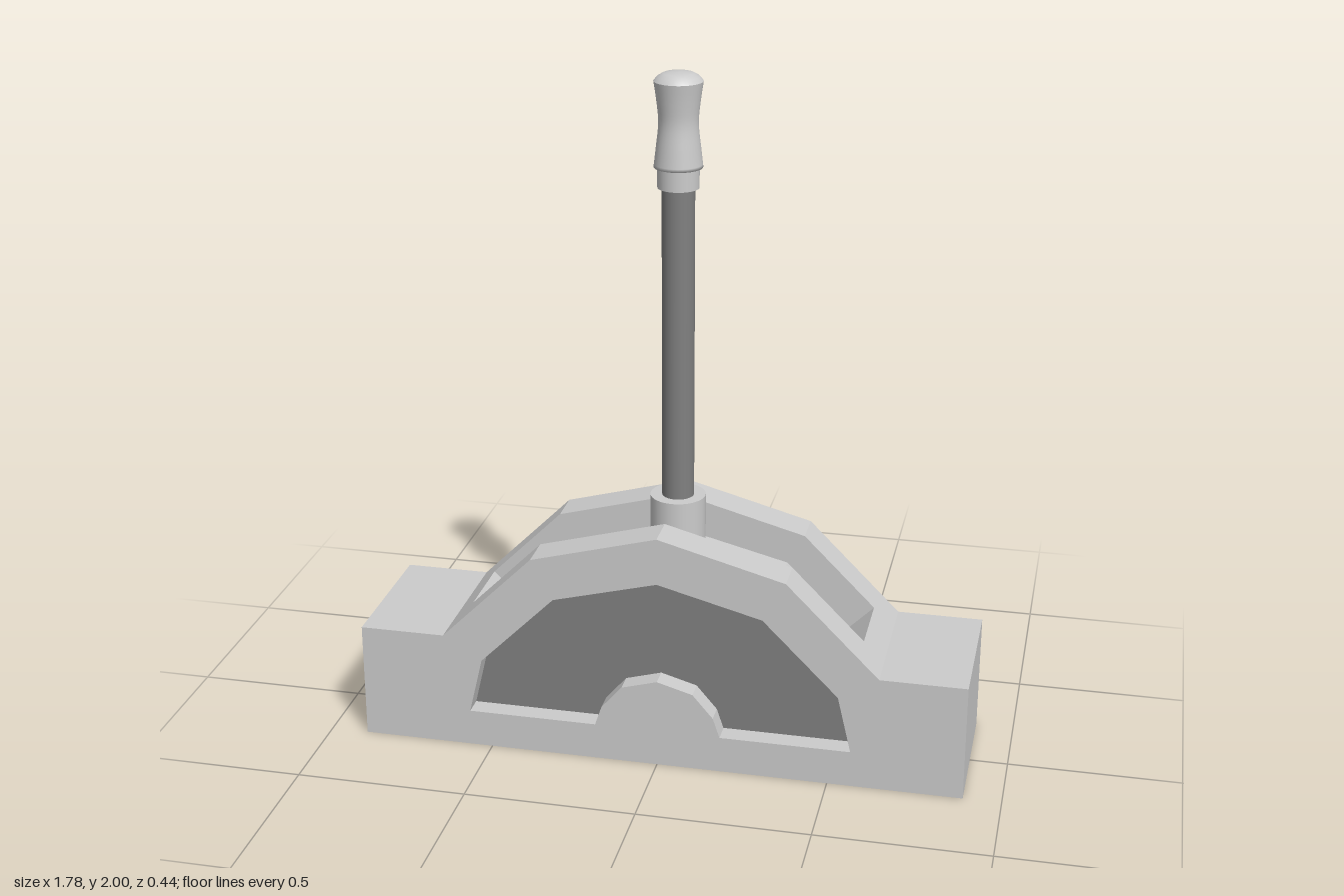
import * as THREE from 'three';

const W = 0.22;      // half thickness of the housing
const SLOT = 0.11;   // half width of the lever slot
const FLOOR = 0.16;  // z of the recessed side panels

const grey = new THREE.MeshStandardMaterial({ color: 0xcccccc, side: THREE.DoubleSide });
const dark = new THREE.MeshStandardMaterial({ color: 0x808080, side: THREE.DoubleSide });

// Completes a left-right symmetric outline from its right half (last point on x = 0).
const mirror = (half) => [
  ...half.slice(0, -1).map(([x, y]) => [-x, y]),
  ...half.slice().reverse(),
];

const toShape = (pts) => new THREE.Shape(pts.map(([x, y]) => new THREE.Vector2(x, y)));

function add(parent, name, geometry, material) {
  const mesh = new THREE.Mesh(geometry, material);
  mesh.name = name;
  parent.add(mesh);
  return mesh;
}

// Flat-faced strip that follows an xy path between two z depths.
function ribbon(pts, z0, z1) {
  const pos = [];
  for (let i = 0; i < pts.length - 1; i++) {
    const [ax, ay] = pts[i], [bx, by] = pts[i + 1];
    pos.push(ax, ay, z0, ax, ay, z1, bx, by, z1, ax, ay, z0, bx, by, z1, bx, by, z0);
  }
  const geo = new THREE.BufferGeometry();
  geo.setAttribute('position', new THREE.Float32BufferAttribute(pos, 3));
  geo.computeVertexNormals();
  return geo;
}

export function createModel() {
  const model = new THREE.Group();

  const outline = mirror([[0.89, 0], [0.89, 0.35], [0.64, 0.35], [0.37, 0.62], [0, 0.72]]);
  const slotRim = mirror([[0.58, 0.41], [0.37, 0.62], [0, 0.72]]);
  const slotFloor = mirror([[0.58, 0.41], [0.51, 0.34], [0.32, 0.53], [0, 0.61]]);
  const recessTop = mirror([[0.565, 0.11], [0.525, 0.28], [0.305, 0.5], [0, 0.58]]);
  const hub = mirror([[0.185, 0.11], [0.165, 0.17], [0.105, 0.24], [0, 0.27]]);
  // Half-ring recess, anticlockwise
  const recess = [...recessTop, ...hub.slice().reverse()].reverse();

  // Housing: a shell open underneath
  const housing = new THREE.Group();
  housing.name = 'housing';
  model.add(housing);

  for (const turn of [0, Math.PI]) {
    const side = new THREE.Group();
    side.name = turn ? 'backSide' : 'frontSide';
    side.rotation.y = turn;
    housing.add(side);

    // Face plate with the recess cut out
    const plate = toShape(outline);
    plate.holes.push(toShape(recess));
    add(side, 'facePlate', new THREE.ShapeGeometry(plate), grey).position.z = W;
    add(side, 'recessWalls', ribbon([...recess, recess[0]], FLOOR, W), grey);
    add(side, 'recessPanel', new THREE.ShapeGeometry(toShape(recess)), dark).position.z = FLOOR;

    // Rail along the top and the slot wall below it
    add(side, 'topRail', ribbon(outline, SLOT, W), grey);
    const wall = toShape([...slotRim, ...slotFloor.slice(1, -1).reverse()]);
    const wallGeo = new THREE.ShapeGeometry(wall).rotateY(Math.PI);
    add(side, 'slotWall', wallGeo, grey).position.z = SLOT;
  }

  // Middle band, dipping into the slot
  const band = [...outline.slice(0, 3), ...slotFloor, ...outline.slice(-3)];
  add(housing, 'slotBand', ribbon(band, -SLOT, SLOT), grey);

  // Lever
  const lever = new THREE.Group();
  lever.name = 'lever';
  lever.position.x = 0.015;
  model.add(lever);

  const cylinder = (name, r, y0, y1, material) => {
    const geo = new THREE.CylinderGeometry(r, r, y1 - y0, 32);
    add(lever, name, geo, material).position.y = (y0 + y1) / 2;
  };
  cylinder('collar', 0.08, 0.585, 0.77, grey);
  cylinder('rod', 0.046, 0.6, 1.7, dark);
  cylinder('ferrule', 0.058, 1.68, 1.74, grey);

  // Waisted grip, smooth along its side
  const waist = new THREE.SplineCurve([
    [0.068, 1.738], [0.062, 1.79], [0.055, 1.86], [0.06, 1.92], [0.068, 1.975],
  ].map(([x, y]) => new THREE.Vector2(x, y))).getPoints(16);
  add(lever, 'grip', new THREE.LatheGeometry([new THREE.Vector2(0, 1.738), ...waist], 32), grey);

  // Rounded cap
  const cap = [[0.068, 1.975], [0.058, 1.987], [0.042, 1.996], [0.02, 1.999], [0, 2]];
  add(lever, 'gripCap', new THREE.LatheGeometry(cap.map(([x, y]) => new THREE.Vector2(x, y)), 32), grey);

  return model;
}
